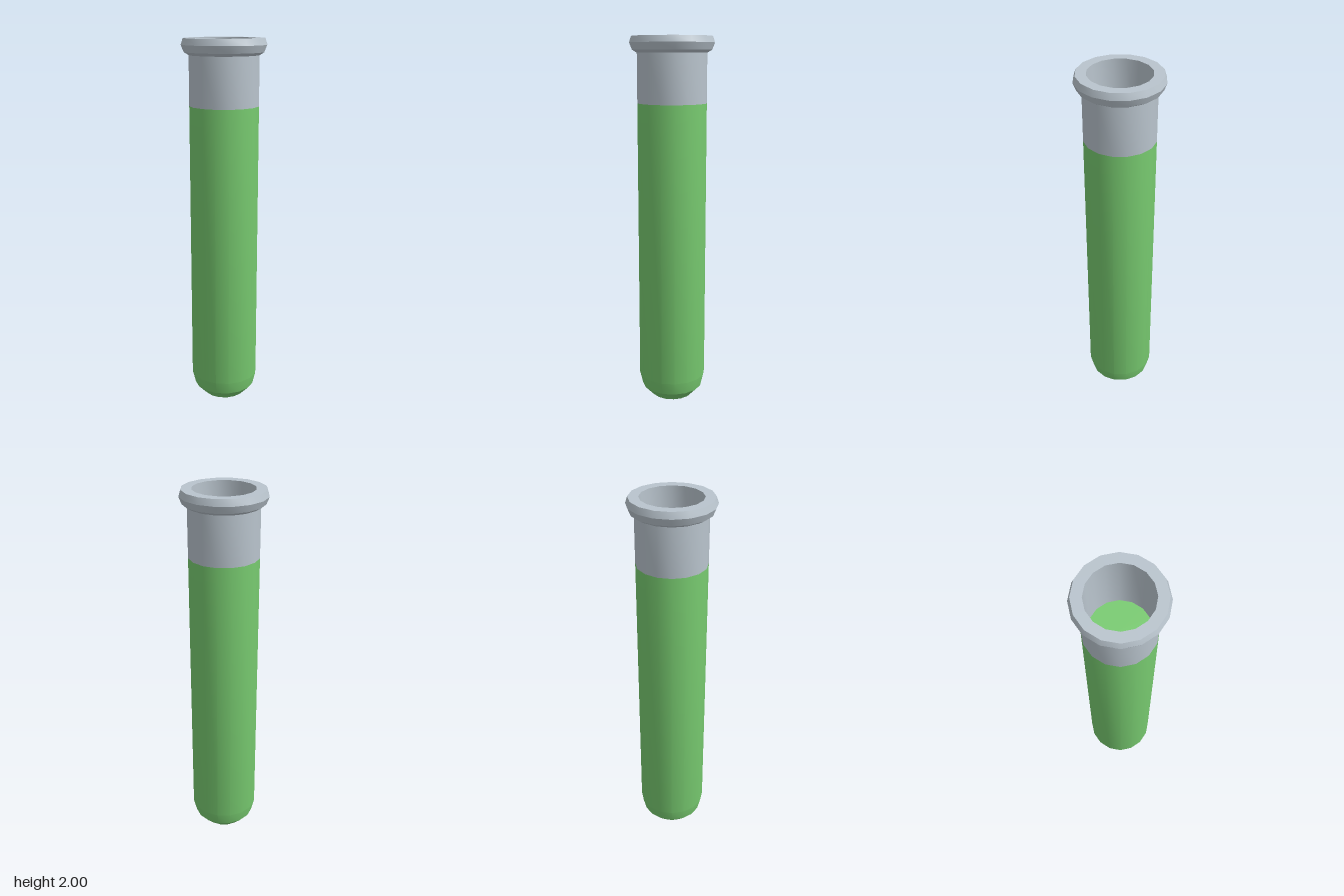
import * as THREE from 'three';
import { toCreasedNormals } from 'three/addons/utils/BufferGeometryUtils.js';

const SIDES = 16;
const FILL = 1.655; // height of the liquid

// Revolve a [radius, height] profile, keeping the hard bends sharp
function turned(name, profile, material) {
  const points = profile.map(([r, y]) => new THREE.Vector2(r, y));
  const geometry = toCreasedNormals(new THREE.LatheGeometry(points, SIDES), 0.42);
  const mesh = new THREE.Mesh(geometry, material);
  mesh.name = name;
  return mesh;
}

export function createModel() {
  const glass = new THREE.MeshStandardMaterial({ color: 0xb9c4cd });
  const green = new THREE.MeshStandardMaterial({ color: 0x78cb70 });
  const group = new THREE.Group();
  group.name = 'testTube';

  // Filled lower body with rounded base and flat liquid surface
  group.add(turned('liquid', [
    [0, 0], [0.115, 0], [0.168, 0.055], [0.185, 0.125], [0.185, FILL],
  ], green));
  const surface = new THREE.Mesh(new THREE.CircleGeometry(0.154, SIDES), green);
  surface.name = 'liquidSurface';
  surface.rotation.x = -Math.PI / 2;
  surface.position.y = FILL;
  group.add(surface);

  // Clear neck above the liquid
  group.add(turned('neck', [[0.185, FILL], [0.185, 1.915]], glass));

  // Flared lip, then down the slightly tapered inner wall
  group.add(turned('rim', [
    [0.185, 1.915], [0.21, 1.93], [0.225, 1.967], [0.214, 2], [0.161, 2], [0.154, FILL],
  ], glass));

  return group;
}
